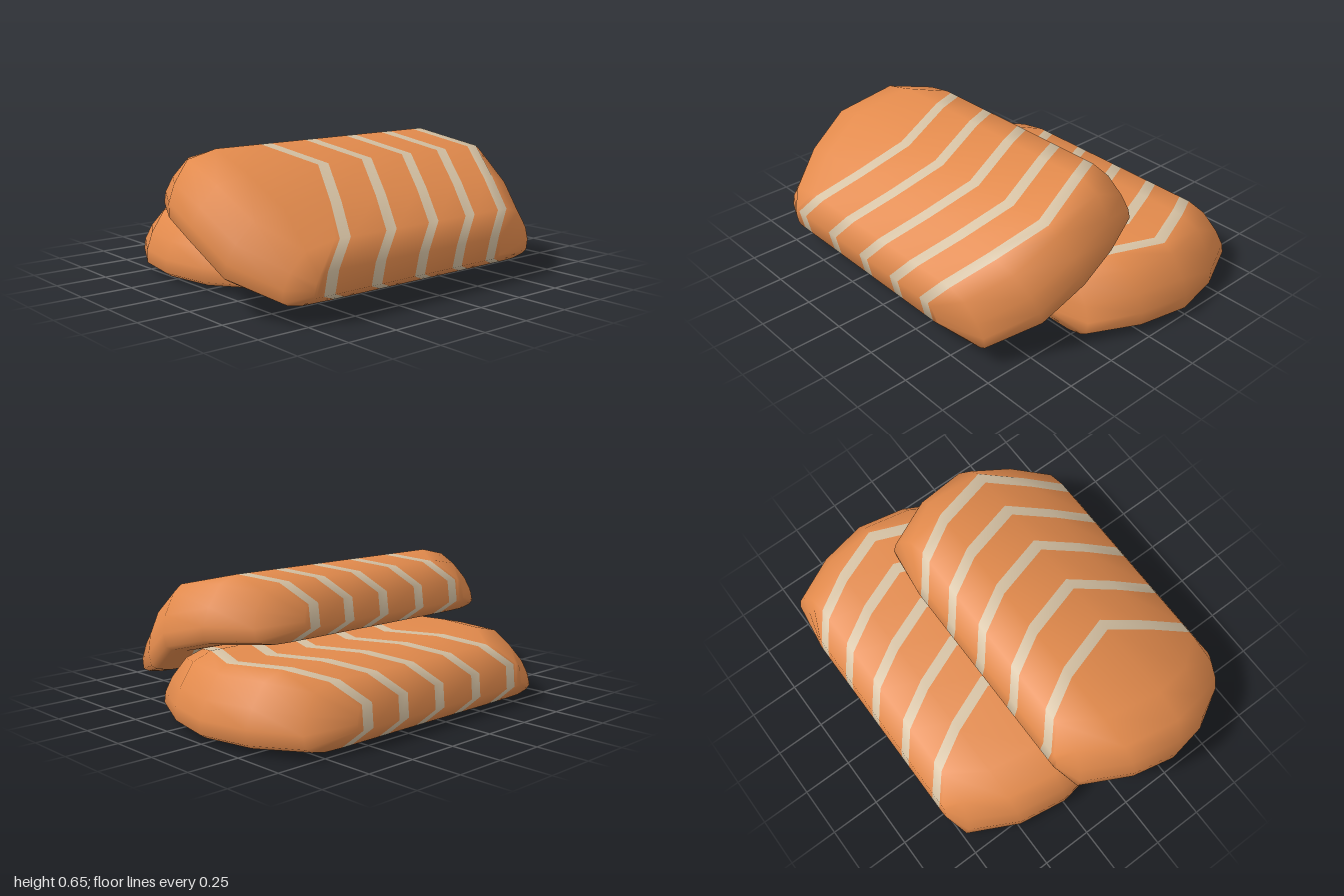
import * as THREE from 'three';

const flesh = new THREE.MeshStandardMaterial({ color: 0xe28a4c });
flesh.name = 'orange flesh';
const fat = new THREE.MeshStandardMaterial({ color: 0xd4c0a2 });
fat.name = 'pale fat stripe';

// Cross-sections, clockwise from the top left: 5 top, 2 right, 5 bottom, 2 left
const lowerSection = [
  [-0.67, 0.288], [-0.49, 0.325], [-0.245, 0.325], [0, 0.325], [0.2, 0.285],
  [0.28, 0.19], [0.29, 0.08],
  [0.255, 0.02], [0, 0], [-0.245, 0], [-0.49, 0], [-0.74, 0.02],
  [-0.77, 0.08], [-0.76, 0.19],
];
const upperSection = [
  [-0.15, 0.62], [0.03, 0.65], [0.33, 0.58], [0.54, 0.45], [0.72, 0.335],
  [0.765, 0.22], [0.74, 0.11],
  [0.685, 0.07], [0.44, 0.14], [0.24, 0.275], [0.03, 0.33], [-0.22, 0.355],
  [-0.25, 0.41], [-0.235, 0.52],
];

const N = 14;
// Distance of each section point from the centre line, in columns (0 middle .. 3 side)
const column = [2, 1, 0, 1, 2, 3, 3, 2, 1, 0, 1, 2, 3, 3];
const chevron = [0, 0.1, 0.2, 0.3];
const backCurve = [0, 0.05, 0.16, 0.42];
const frontCurve = [0, 0.04, 0.16, 0.28];
const stripes = [-0.82, -0.6, -0.365, -0.11, 0.15];
const BACK = -1, FRONT = 0.815, HALF = 0.03;

// End rings: distance from the tip, then the low and high limits of the thickness
const endRings = [[0, 0.12, 0.32], [0.03, 0.06, 0.58], [0.1, 0.01, 0.89]];

function sliceGeometry(section, shift) {
  const pos = [], index = [];
  const geo = new THREE.BufferGeometry();
  let rings = 0;

  const addRing = (zOf, lo = 0, hi = 1) => {
    section.forEach((p, i) => {
      const q = section[(25 - i) % N] ?? p; // point on the opposite face
      const isTop = i <= 5 || i === 13;
      const [top, bottom] = isTop ? [p, q] : [q, p];
      const t = isTop ? hi : lo;
      pos.push(
        bottom[0] + (top[0] - bottom[0]) * t,
        bottom[1] + (top[1] - bottom[1]) * t,
        zOf(column[i]) + shift,
      );
    });
    rings++;
  };
  const inset = (c, d) => (c === 3 ? d * 0.15 : d);

  // Rounded back end
  for (const [d, lo, hi] of endRings) addRing((c) => BACK + backCurve[c] + inset(c, d), lo, hi);
  // Two chevron edges for every stripe
  const stripeStarts = [];
  for (const z of stripes) {
    stripeStarts.push(rings);
    addRing((c) => z - HALF + chevron[c]);
    addRing((c) => z + HALF + chevron[c]);
  }
  // Rounded front end
  addRing((c) => FRONT - frontCurve[c] - inset(c, 0.25));
  for (const [d, lo, hi] of [...endRings].reverse()) {
    addRing((c) => FRONT - frontCurve[c] - inset(c, d), lo, hi);
  }

  const group = (start, material) => geo.addGroup(start, index.length - start, material);

  // Skin between the rings
  for (let r = 0; r < rings - 1; r++) {
    const start = index.length;
    for (let i = 0; i < N; i++) {
      const j = (i + 1) % N;
      const a = r * N + i, b = r * N + j;
      index.push(a, a + N, b + N, a, b + N, b);
    }
    group(start, stripeStarts.includes(r) ? 1 : 0);
  }

  // Closing strips at both tips
  const start = index.length;
  const last = (rings - 1) * N;
  for (let k = 0; k < 6; k++) {
    const a = (13 + k) % N, b = (14 + k) % N, c = 11 - k, d = 12 - k;
    index.push(last + a, last + d, last + c, last + a, last + c, last + b);
    index.push(a, c, d, a, b, c);
  }
  group(start, 0);

  geo.setAttribute('position', new THREE.Float32BufferAttribute(pos, 3));
  geo.setIndex(index);
  geo.computeVertexNormals();
  return geo;
}

export function createModel() {
  const model = new THREE.Group();
  model.name = 'fishSlices';
  const parts = [['lowerSlice', lowerSection, 0], ['upperSlice', upperSection, 0.18]];
  for (const [name, section, shift] of parts) {
    const mesh = new THREE.Mesh(sliceGeometry(section, shift), [flesh, fat]);
    mesh.name = name;
    model.add(mesh);
  }
  return model;
}
